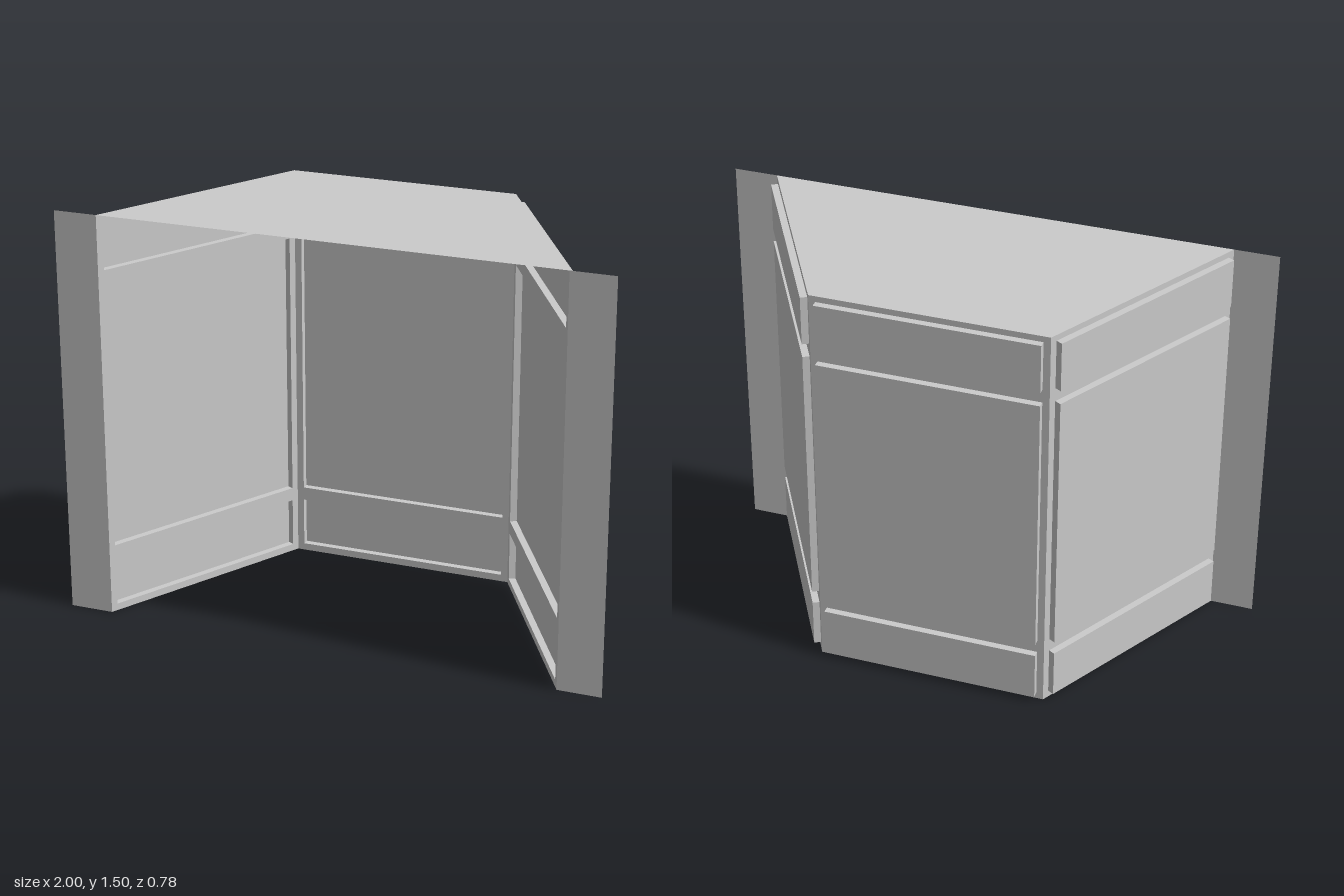
import * as THREE from 'three';

const HEIGHT = 1.5, MARGIN = 0.025, DEPTH = 0.025;
const FRONT_Z = 0.388, BACK_Z = -0.364, FRONT_X = 0.84, BACK_X = 0.42;
// bottom and top of each row of recessed panels
const ROWS = [['lowerPanel', 0.026, 0.208], ['middlePanel', 0.258, 1.247], ['upperPanel', 1.297, 1.478]];

const material = new THREE.MeshStandardMaterial({ color: 0xcccccc, side: THREE.DoubleSide, flatShading: true });

function part(name, geometry) {
  const mesh = new THREE.Mesh(geometry, material);
  mesh.name = name;
  return mesh;
}

function polygon(points, Type = THREE.Shape) {
  return new Type(points.map(([x, y]) => new THREE.Vector2(x, y)));
}

const rect = (x0, y0, x1, y1) => [[x0, y0], [x1, y0], [x1, y1], [x0, y1]];

// shallow tray, open towards the room (+z)
function trayGeometry(width, height) {
  const g = new THREE.BoxGeometry(width, height, DEPTH);
  const index = Array.from(g.index.array);
  index.splice(24, 6);
  g.setIndex(index);
  g.clearGroups();
  return g;
}

// thin wall from a to b (x, z) with three panels pushed outwards
function wall(name, a, b) {
  const dx = b[0] - a[0], dz = b[1] - a[1], length = Math.hypot(dx, dz);
  const group = new THREE.Group();
  group.name = name;
  const sheet = polygon(rect(0, 0, length, HEIGHT));
  for (const [rowName, y0, y1] of ROWS) {
    sheet.holes.push(polygon(rect(MARGIN, y0, length - MARGIN, y1), THREE.Path));
    const tray = part(rowName, trayGeometry(length - 2 * MARGIN, y1 - y0));
    tray.position.set(length / 2, (y0 + y1) / 2, -DEPTH / 2);
    group.add(tray);
  }
  group.add(part('wallFrame', new THREE.ShapeGeometry(sheet)));
  group.position.set(a[0], 0, a[1]);
  group.rotation.y = Math.atan2(-dz, dx);
  return group;
}

export function createModel() {
  const model = new THREE.Group();
  model.name = 'bayAlcove';

  // three walls around the bay
  const corners = [[-FRONT_X, FRONT_Z], [-BACK_X, BACK_Z], [BACK_X, BACK_Z], [FRONT_X, FRONT_Z]];
  ['rightWall', 'backWall', 'leftWall'].forEach((name, i) => model.add(wall(name, corners[i], corners[i + 1])));

  // flat strips beside the opening
  for (const [name, side] of [['leftFlange', 1], ['rightFlange', -1]]) {
    const flange = part(name, new THREE.PlaneGeometry(1 - FRONT_X, HEIGHT));
    flange.position.set(side * (1 + FRONT_X) / 2, HEIGHT / 2, FRONT_Z);
    model.add(flange);
  }

  // trapezoid ceiling
  const ceiling = part('ceiling', new THREE.ShapeGeometry(polygon(corners.map(([x, z]) => [x, -z]))));
  ceiling.rotation.x = -Math.PI / 2;
  ceiling.position.y = HEIGHT;
  model.add(ceiling);

  return model;
}
